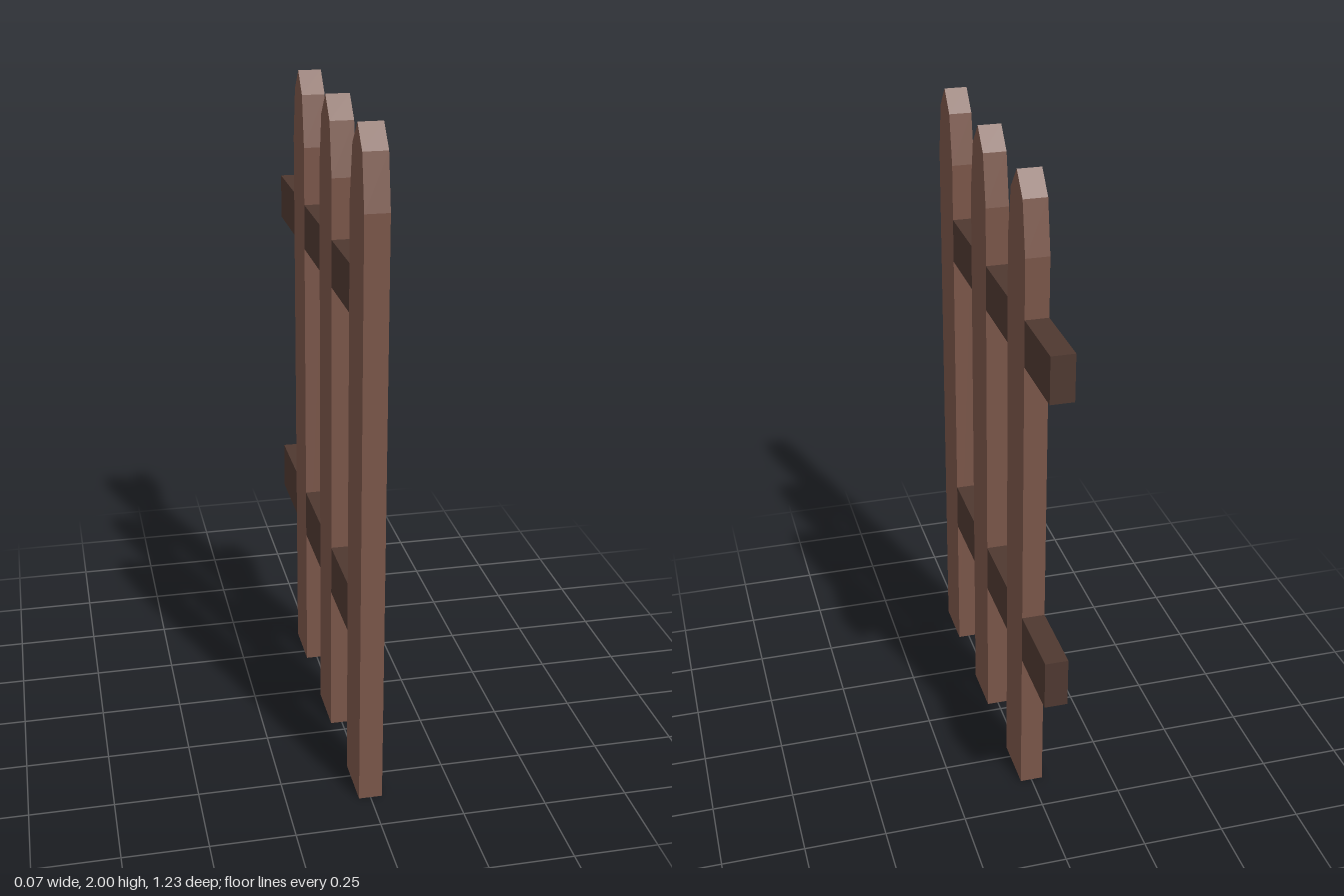
import * as THREE from 'three';

const THICK = 0.07;
const HALF = 0.086;
const END = 0.617;
const POSTS = [0.531, 0.122, -0.29];
const RAILS = [
  { name: 'lowerRail', bottom: 0.475, top: 0.63 },
  { name: 'upperRail', bottom: 1.463, top: 1.603 },
];

export function createModel() {
  const fence = new THREE.Group();
  fence.name = 'picketFence';
  const picketMaterial = new THREE.MeshStandardMaterial({ color: 0x795548, flatShading: true });
  const railMaterial = new THREE.MeshStandardMaterial({ color: 0x4e3830, flatShading: true });

  // Picket outline with a pointed, twice-bevelled top
  const outline = new THREE.Shape([
    [-HALF, 0], [HALF, 0], [HALF, 1.78], [0.058, 1.935], [0, 2], [-0.058, 1.935], [-HALF, 1.78],
  ].map(([x, y]) => new THREE.Vector2(x, y)));
  const picketGeometry = new THREE.ExtrudeGeometry(outline, { depth: THICK, bevelEnabled: false });
  picketGeometry.translate(0, 0, -THICK / 2).rotateY(Math.PI / 2);

  POSTS.forEach((z, i) => {
    const picket = new THREE.Mesh(picketGeometry, picketMaterial);
    picket.name = `picket${i + 1}`;
    picket.position.z = z;
    fence.add(picket);
  });

  // Rails sit flush with the pickets, so each is built in pieces between them
  for (const { name, bottom, top } of RAILS) {
    const rail = new THREE.Group();
    rail.name = name;
    POSTS.forEach((z, i) => {
      const start = z - HALF;
      const end = i + 1 < POSTS.length ? POSTS[i + 1] + HALF : -END;
      const piece = new THREE.Mesh(new THREE.BoxGeometry(THICK, top - bottom, start - end), railMaterial);
      piece.name = `${name}Piece${i + 1}`;
      piece.position.set(0, (bottom + top) / 2, (start + end) / 2);
      rail.add(piece);
    });
    fence.add(rail);
  }
  return fence;
}
